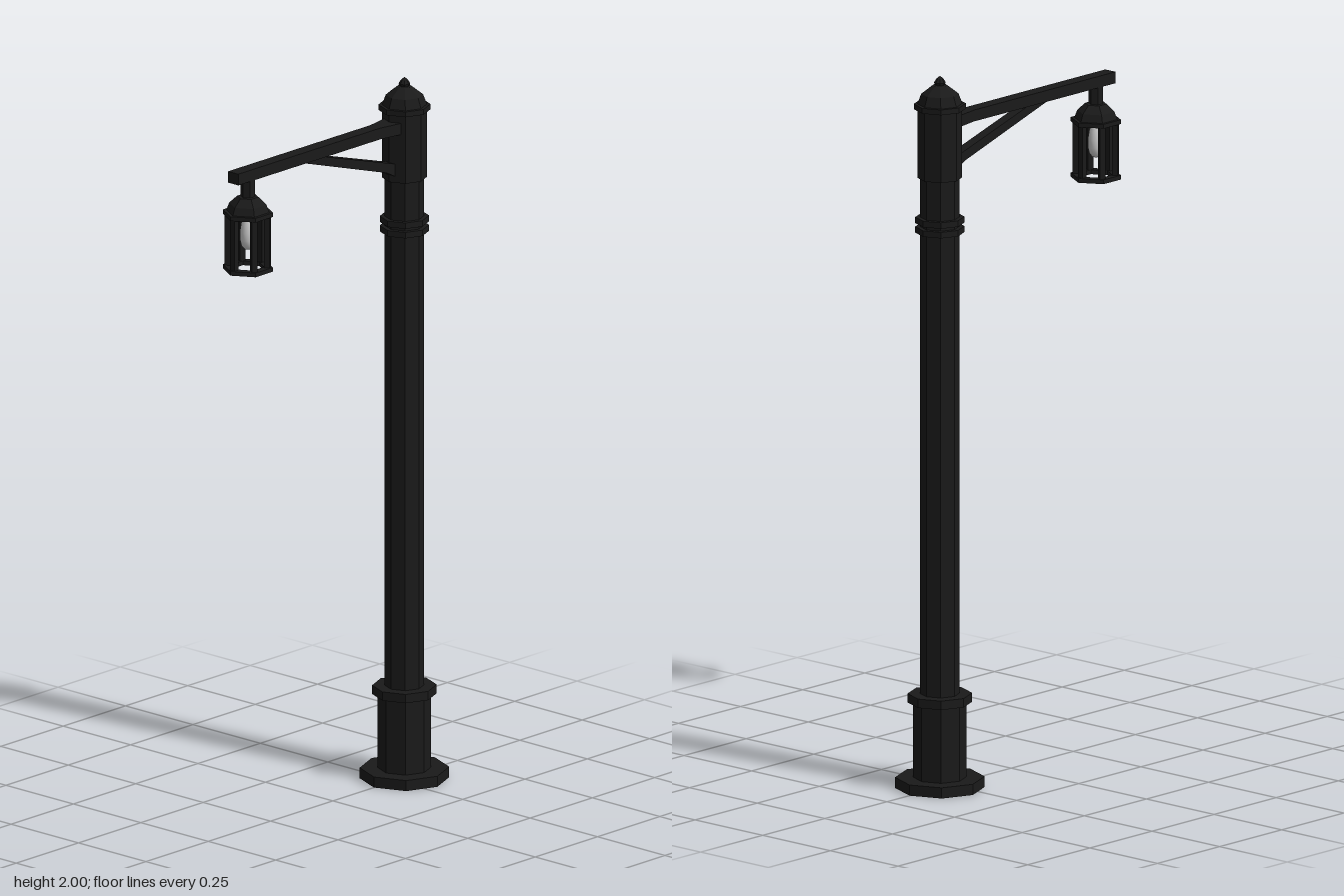
import * as THREE from 'three';

const iron = new THREE.MeshStandardMaterial({ color: 0x1a1a1a, flatShading: true });
const glass = new THREE.MeshStandardMaterial({ color: 0xcccccc });
const POST_X = 0.287, LAMP_X = -0.341;

// Faceted turned part from [radius, height] pairs, with a corner on the x axis
function turned(name, x, sides, profile, material = iron) {
  const points = profile.map(([r, y]) => new THREE.Vector2(r, y));
  const mesh = new THREE.Mesh(new THREE.LatheGeometry(points, sides, Math.PI / 2), material);
  mesh.name = name;
  mesh.position.x = x;
  return mesh;
}

// Outline extruded by a depth centred on zero
function slab(name, outline, depth) {
  const shape = new THREE.Shape(outline.map(([a, b]) => new THREE.Vector2(a, b)));
  const geometry = new THREE.ExtrudeGeometry(shape, { depth, bevelEnabled: false });
  geometry.translate(0, 0, -depth / 2);
  const mesh = new THREE.Mesh(geometry, iron);
  mesh.name = name;
  return mesh;
}

// Flat closed ring with a rectangular section
function ring(name, x, sides, inner, outer, y0, y1) {
  return turned(name, x, sides, [[inner, y0], [outer, y0], [outer, y1], [inner, y1], [inner, y0]]);
}

function createPost() {
  const post = new THREE.Group();
  post.name = 'post';
  post.add(
    // Foot and plinth, hollow underneath
    turned('base', POST_X, 8, [
      [0, 0.24], [0.067, 0.24], [0.067, 0], [0.122, 0], [0.122, 0.03], [0.073, 0.03],
      [0.073, 0.24], [0.088, 0.24], [0.088, 0.265], [0.05, 0.265],
    ]),
    turned('shaft', POST_X, 8, [[0.054, 0.26], [0.054, 1.73]]),
    ring('lowerRing', POST_X, 8, 0.05, 0.067, 1.56, 1.577),
    ring('upperRing', POST_X, 8, 0.05, 0.067, 1.587, 1.604),
    turned('head', POST_X, 8, [
      [0.05, 1.714], [0.061, 1.714], [0.061, 1.907], [0.071, 1.907], [0.071, 1.922], [0.058, 1.922],
    ]),
    turned('dome', POST_X, 8, [[0.062, 1.92], [0.051, 1.95], [0.02, 1.974], [0, 1.976]]),
    turned('finial', POST_X, 8, [[0.012, 1.972], [0.016, 1.982], [0.009, 1.993], [0, 2]]),
  );
  return post;
}

function createArm() {
  const arm = new THREE.Group();
  arm.name = 'arm';
  // Beam drawn in plan, widening where it meets the post
  const beam = slab('beam', [
    [-0.4, -0.019], [0.17, -0.019], [0.24, -0.032], [0.24, 0.032], [0.17, 0.019], [-0.4, 0.019],
  ], 0.032);
  beam.rotation.x = -Math.PI / 2;
  beam.position.y = 1.869;
  // Brace in side outline, thickening at the post
  const brace = slab('brace', [
    [-0.14, 1.856], [0.2, 1.749], [0.24, 1.728], [0.24, 1.765], [-0.06, 1.856],
  ], 0.03);
  arm.add(beam, brace);
  return arm;
}

function createLantern() {
  const lantern = new THREE.Group();
  lantern.name = 'lantern';
  lantern.add(
    turned('stem', LAMP_X, 6, [[0.02, 1.795], [0.02, 1.856]]),
    // Hollow roof with a projecting eave
    turned('roof', LAMP_X, 6, [
      [0, 1.79], [0.028, 1.79], [0.05, 1.75], [0.07, 1.75], [0.07, 1.762], [0.06, 1.762],
      [0.052, 1.783], [0.03, 1.804], [0, 1.806],
    ]),
    ring('bottomRing', LAMP_X, 6, 0.046, 0.07, 1.594, 1.606),
    turned('socket', LAMP_X, 8, [[0, 1.738], [0.014, 1.738], [0.014, 1.795]]),
    turned('bulb', LAMP_X, 16, [
      [0, 1.652], [0.01, 1.655], [0.018, 1.665], [0.022, 1.682], [0.022, 1.704], [0.018, 1.728], [0.013, 1.742],
    ], glass),
  );
  // Corner posts of the cage
  for (let i = 0; i < 6; i++) {
    const angle = i * Math.PI / 3;
    const bar = new THREE.Mesh(new THREE.BoxGeometry(0.016, 0.156, 0.016), iron);
    bar.name = 'cageBar';
    bar.position.set(LAMP_X + 0.055 * Math.cos(angle), 1.678, 0.055 * Math.sin(angle));
    bar.rotation.y = -angle;
    lantern.add(bar);
  }
  return lantern;
}

export function createModel() {
  const model = new THREE.Group();
  model.name = 'streetLamp';
  model.add(createPost(), createArm(), createLantern());
  return model;
}
